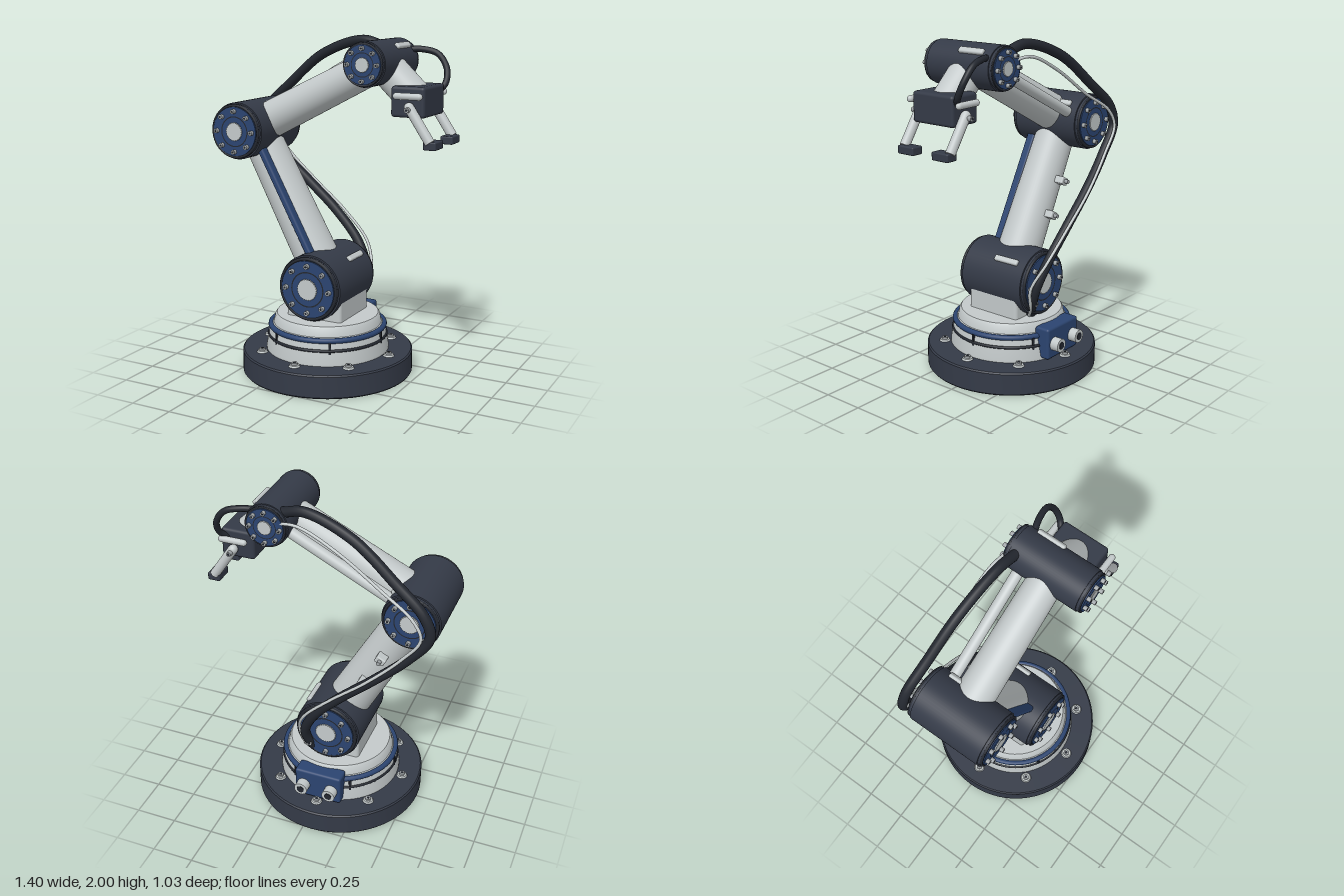
import * as THREE from 'three';
import { toCreasedNormals } from 'three/addons/utils/BufferGeometryUtils.js';
import { RoundedBoxGeometry } from 'three/addons/geometries/RoundedBoxGeometry.js';

const mat = (name, color) => Object.assign(new THREE.MeshStandardMaterial({ color }), { name });
const V = (x, y, z) => new THREE.Vector3(x, y, z);

export function createModel() {
  const light = mat('light grey shell', 0xc3c9ca);
  const dark = mat('dark slate', 0x343a47);
  const blue = mat('blue trim', 0x2b4470);
  const black = mat('black rubber', 0x23272f);
  const metal = mat('bolt metal', 0xa2a7aa);

  const model = new THREE.Group();
  model.name = 'robotArm';

  const add = (parent, name, geo, material, x = 0, y = 0, z = 0) => {
    const m = new THREE.Mesh(geo, material);
    m.name = name;
    m.position.set(x, y, z);
    parent.add(m);
    return m;
  };
  const group = (parent, name, x = 0, y = 0, z = 0) => {
    const g = new THREE.Group();
    g.name = name;
    g.position.set(x, y, z);
    parent.add(g);
    return g;
  };
  const cyl = (r1, r2, h, n = 48) => new THREE.CylinderGeometry(r1, r2, h, n);
  const zCyl = (r1, r2, h, n) => cyl(r1, r2, h, n).rotateX(Math.PI / 2);
  const box = (w, h, d, r = 0.01) => new RoundedBoxGeometry(w, h, d, 3, r);
  const lathe = (pts) => toCreasedNormals(
    new THREE.LatheGeometry(pts.map(([x, y]) => new THREE.Vector2(x, y)), 64), 0.5);
  // Tapered rod from point a to point b
  const rod = (parent, name, a, b, ra, rb, material) => {
    const m = add(parent, name, cyl(rb, ra, a.distanceTo(b)), material);
    m.position.copy(a).lerp(b, 0.5);
    m.quaternion.setFromUnitVectors(V(0, 1, 0), b.clone().sub(a).normalize());
    return m;
  };
  const hose = (name, pts, r, material) => {
    const curve = new THREE.CatmullRomCurve3(pts.map((p) => V(...p)));
    add(model, name, new THREE.TubeGeometry(curve, 120, r, 14), material);
    for (const p of [pts[0], pts[pts.length - 1]])
      add(model, name + 'End', new THREE.SphereGeometry(r, 16, 10), material, ...p);
  };

  // Base plate and turntable
  const base = group(model, 'base', -0.05, 0, 0);
  add(base, 'basePlate', lathe([[0, 0], [0.507, 0], [0.513, 0.008], [0.513, 0.132], [0.505, 0.14], [0, 0.14]]), dark);
  add(base, 'turntable', lathe([[0.37, 0.14], [0.37, 0.155], [0.345, 0.285], [0.325, 0.3],
    [0.315, 0.345], [0.305, 0.358], [0, 0.358]]), light);
  const ring = (name, r, t, y, m) => add(base, name, new THREE.TorusGeometry(r, t, 12, 72).rotateX(Math.PI / 2), m, 0, y, 0);
  ring('blueRing', 0.342, 0.016, 0.285, blue);
  ring('blackRing', 0.354, 0.009, 0.228, black);
  for (let i = 0; i < 6; i++) {
    const spoke = group(base, 'ringClip');
    spoke.rotation.y = (i + 0.5) * Math.PI / 3;
    add(spoke, 'clipBar', new THREE.BoxGeometry(0.014, 0.1, 0.025), black, 0, 0.23, 0.347);
  }
  for (let i = 0; i < 8; i++) {
    const a = i * Math.PI / 4;
    const bolt = group(base, 'baseBolt', 0.408 * Math.sin(a), 0.14, 0.408 * Math.cos(a));
    add(bolt, 'washer', cyl(0.028, 0.033, 0.01, 24), light, 0, 0.005, 0);
    add(bolt, 'boltHead', cyl(0.019, 0.019, 0.018, 6), metal, 0, 0.014, 0);
    add(bolt, 'socket', cyl(0.009, 0.009, 0.002, 6), black, 0, 0.0235, 0);
  }
  add(base, 'pedestal', box(0.36, 0.22, 0.36, 0.02), light, 0, 0.44, 0);

  // Connector box with two sockets at the back
  add(base, 'connectorBox', box(0.29, 0.19, 0.1, 0.015), blue, 0, 0.245, -0.342);
  for (const s of [-1, 1]) {
    add(base, 'connector', zCyl(0.04, 0.04, 0.055, 24), light, s * 0.088, 0.24, -0.418);
    add(base, 'connectorCore', zCyl(0.022, 0.022, 0.006, 24), black, s * 0.088, 0.24, -0.446);
  }

  // Toothed hub outline
  const hubShape = (r) => {
    const pts = [];
    for (let i = 0; i < 56; i++) {
      const a = i * Math.PI / 28, q = i % 2 ? r : r * 0.92;
      pts.push(new THREE.Vector2(q * Math.cos(a), q * Math.sin(a)));
    }
    return new THREE.Shape(pts);
  };

  // Joint barrel with bolted covers on both ends
  const joint = (name, p, R) => {
    const g = group(model, name, p.x, p.y, 0);
    add(g, 'barrel', zCyl(R, R, 0.44, 64), dark);
    for (const side of [0, 1]) {
      const cover = group(g, 'jointCover');
      cover.rotation.y = side * Math.PI;
      add(cover, 'flange', zCyl(R * 0.95, R * 0.95, 0.025, 64), dark, 0, 0, 0.2305);
      add(cover, 'rim', new THREE.TorusGeometry(R * 0.91, R * 0.05, 10, 64), black, 0, 0, 0.238);
      add(cover, 'coverPlate', zCyl(R * 0.86, R * 0.86, 0.03, 64), blue, 0, 0, 0.235);
      add(cover, 'groove', new THREE.RingGeometry(R * 0.5, R * 0.54, 48), black, 0, 0, 0.2515);
      add(cover, 'hub', new THREE.ExtrudeGeometry(hubShape(R * 0.33),
        { depth: 0.012, bevelEnabled: false }), light, 0, 0, 0.246);
      for (let i = 0; i < 8; i++) {
        const a = i * Math.PI / 4, x = R * 0.71 * Math.cos(a), y = R * 0.71 * Math.sin(a);
        const s = 0.009 + R * 0.03;
        add(cover, 'coverBolt', zCyl(s, s, 0.024, 12), metal, x, y, 0.26);
        add(cover, 'boltSocket', zCyl(s * 0.5, s * 0.5, 0.002, 6), black, x, y, 0.2725);
      }
    }
    // Raised tab on the upper side
    const tab = add(g, 'tab', box(0.03, 0.036, 0.17, 0.01), light, R * 0.715, R * 0.715, -0.078);
    tab.rotation.z = Math.PI / 4;
  };
  const shoulder = V(-0.05, 0.555, 0), elbow = V(-0.53, 1.445, 0), wrist = V(0.295, 1.86, 0);
  joint('shoulderJoint', shoulder, 0.198);
  joint('elbowJoint', elbow, 0.167);
  joint('wristJoint', wrist, 0.125);

  // Arm links
  rod(model, 'lowerArm', shoulder, elbow, 0.134, 0.116, light);
  rod(model, 'upperArm', elbow, wrist, 0.112, 0.097, light);
  rod(model, 'wristLink', wrist, V(0.495, 1.67, 0), 0.1, 0.1, light);
  rod(model, 'sideRod', V(-0.45, 1.485, -0.152), V(0.22, 1.822, -0.152), 0.032, 0.032, light);

  // Blue rail on the front of the lower arm
  const rail = add(model, 'lowerArmRail', box(0.04, 0.84, 0.06, 0.015), blue, -0.25, 1.025, 0.13);
  rail.rotation.z = Math.atan2(0.48, 0.89);

  // Hose clips behind the lower arm
  for (const t of [0.4, 0.615]) {
    const p = shoulder.clone().lerp(elbow, t);
    const clip = group(model, 'hoseClip', p.x, p.y, -0.14);
    clip.rotation.z = Math.atan2(0.48, 0.89);
    add(clip, 'clipBlock', box(0.06, 0.045, 0.07, 0.008), light);
    add(clip, 'clipPin', zCyl(0.012, 0.012, 0.03, 12), metal, 0, 0, -0.045);
  }

  // Gripper
  const gripper = group(model, 'gripper');
  add(gripper, 'gripperBody', box(0.2, 0.17, 0.29, 0.018), dark, 0.515, 1.66, 0);
  for (const s of [-1, 1]) {
    const slide = add(gripper, 'slideBar', new THREE.CapsuleGeometry(0.019, 0.135, 6, 16), light, 0.53, 1.695, s * 0.175);
    slide.rotation.z = Math.PI / 2;
    rod(gripper, 'finger', V(0.535, 1.635, s * 0.165), V(0.66, 1.45, s * 0.165), 0.028, 0.028, light);
    add(gripper, 'fingerPivot', new THREE.SphereGeometry(0.028, 20, 14), light, 0.535, 1.635, s * 0.165);
    add(gripper, 'pivotBolt', zCyl(0.015, 0.015, 0.03, 12), metal, 0.54, 1.625, s * 0.2);
    add(gripper, 'pivotSocket', zCyl(0.008, 0.008, 0.002, 6), black, 0.54, 1.625, s * 0.2155);
    add(gripper, 'fingerTip', box(0.075, 0.046, 0.115, 0.008), dark, 0.662, 1.435, s * 0.124);
  }

  // Hoses
  hose('mainHose', [[0.22, 1.935, -0.185], [0.08, 1.968, -0.2], [-0.2, 1.88, -0.235], [-0.45, 1.69, -0.27],
    [-0.62, 1.54, -0.295], [-0.66, 1.42, -0.3], [-0.55, 1.26, -0.305], [-0.36, 1.08, -0.325],
    [-0.16, 0.9, -0.33], [0, 0.72, -0.315], [0.07, 0.56, -0.28], [0.05, 0.44, -0.235], [0, 0.36, -0.19]], 0.029, black);
  hose('signalCable', [[0.25, 1.89, -0.235], [0.1, 1.905, -0.255], [-0.12, 1.81, -0.27], [-0.38, 1.64, -0.29],
    [-0.57, 1.52, -0.325], [-0.62, 1.42, -0.335], [-0.52, 1.27, -0.34], [-0.33, 1.08, -0.36],
    [-0.12, 0.9, -0.363], [0.05, 0.72, -0.34], [0.11, 0.56, -0.27], [0.08, 0.44, -0.25], [0.03, 0.36, -0.2]], 0.009, light);
  hose('gripperHose', [[0.37, 1.92, -0.18], [0.44, 1.925, -0.205], [0.54, 1.9, -0.222], [0.6, 1.82, -0.21],
    [0.607, 1.74, -0.175], [0.575, 1.695, -0.14]], 0.018, black);

  return model;
}
